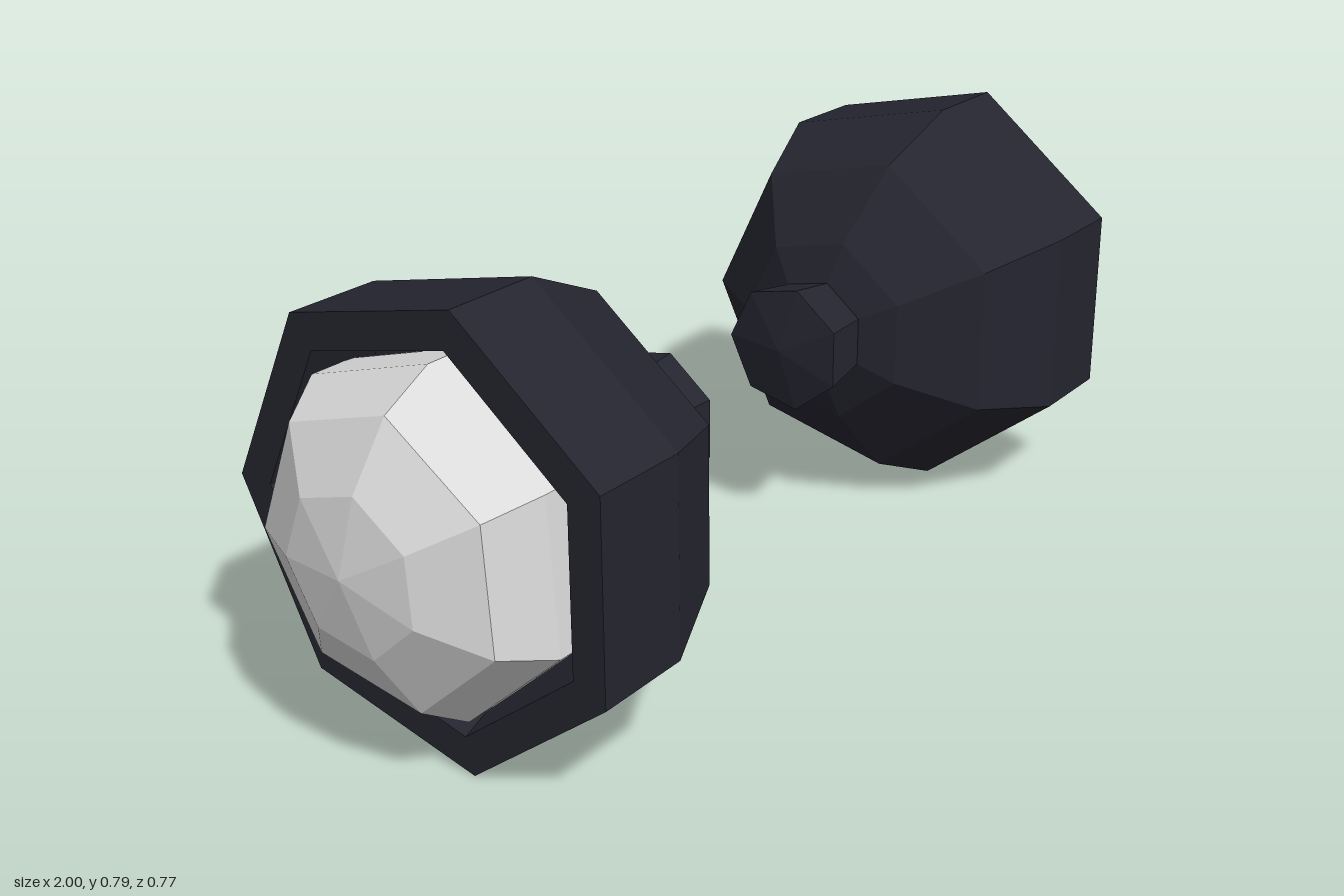
import * as THREE from 'three';

const SIDES = 7;
const CENTRE_Y = 0.398;
const CENTRE_Z = 0.02;

// Profiles as [distance along x, radius], ordered from the inner end outwards
const SHELL = [
  [0.283, 0], [0.283, 0.11], [0.31, 0.186], [0.42, 0.328], [0.593, 0.407], [0.775, 0.407], // outer bowl
  [0.775, 0.338], [0.66, 0.3], [0.66, 0], // rim and recess
];
const STEM = [[0.15, 0], [0.171, 0.126], [0.29, 0.107], [0.29, 0]];
const LENS = [[0.68, 0], [0.68, 0.29], [0.75, 0.308], [0.834, 0.308], [0.92, 0.252], [0.978, 0.138], [0.999, 0]];

export function createModel() {
  const model = new THREE.Group();
  model.name = 'lampPair';

  const housing = new THREE.MeshStandardMaterial({ color: 0x252530, flatShading: true });
  housing.name = 'dark housing';
  const glass = new THREE.MeshStandardMaterial({ color: 0xdcdcdc, flatShading: true });
  glass.name = 'pale lens';

  // Seven-sided turned part whose axis points outwards along +x or -x
  function turned(name, profile, material, side, shift = 0, twist = 0) {
    const points = profile.map(([d, r]) => new THREE.Vector2(r, d + shift));
    const geometry = new THREE.LatheGeometry(points, SIDES, Math.PI + twist);
    geometry.rotateZ(-side * Math.PI / 2);
    const mesh = new THREE.Mesh(geometry, material);
    mesh.name = name;
    return mesh;
  }

  for (const side of [1, -1]) {
    const lamp = new THREE.Group();
    lamp.name = side > 0 ? 'leftLamp' : 'rightLamp';
    lamp.position.set(0, CENTRE_Y, CENTRE_Z);
    // The right housing sits slightly further out, its lens turned a little
    const shift = side > 0 ? 0 : 0.054;
    const twist = side > 0 ? 0 : 0.07;
    lamp.add(
      turned('shell', SHELL, housing, side, shift),
      turned('stem', STEM, housing, side, shift),
      turned('lens', LENS, glass, side, 0, twist),
    );
    model.add(lamp);
  }
  return model;
}
